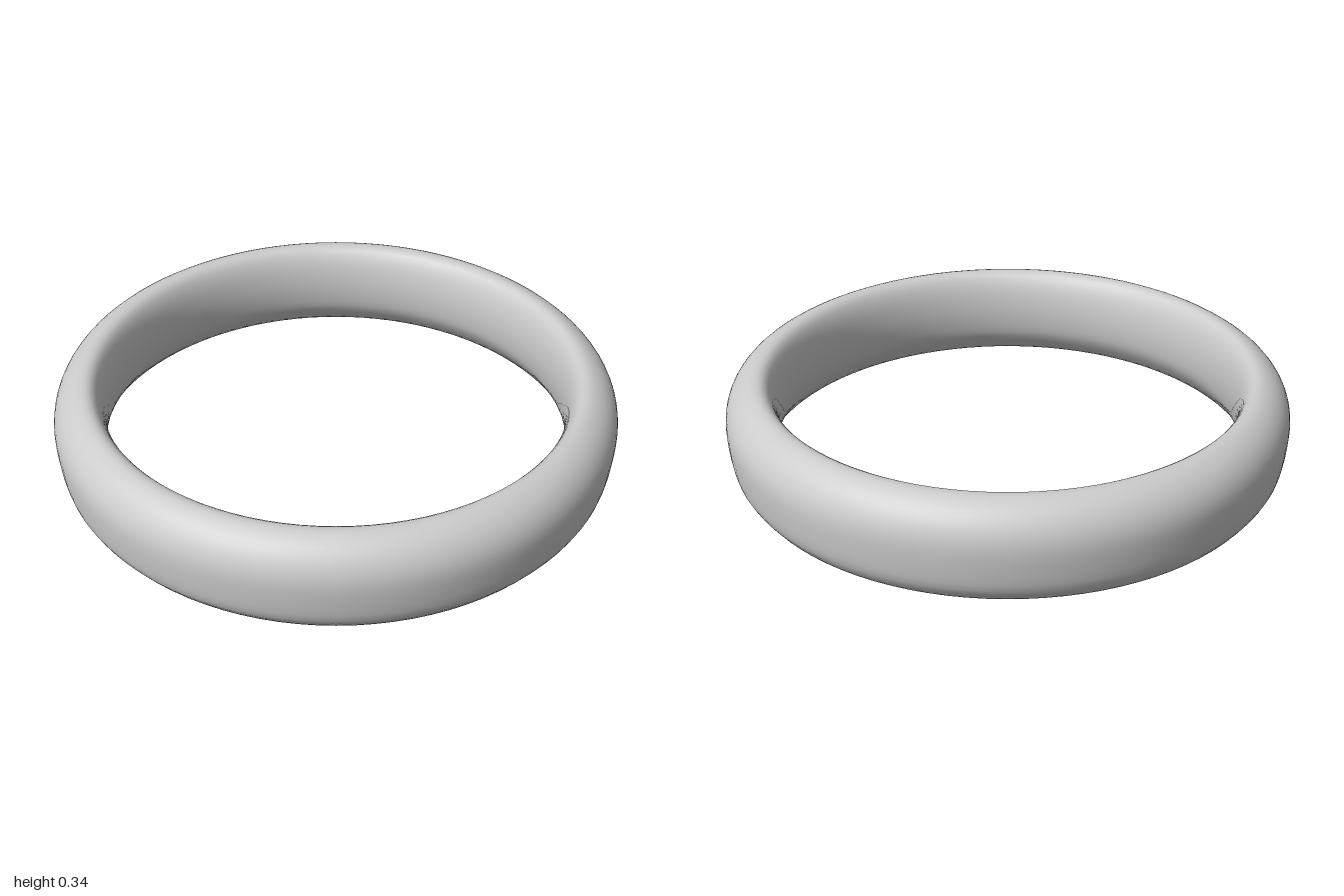
import * as THREE from 'three';

// Plain domed band: a rounded cross-section with a narrow flat foot, revolved about y.
export function createModel() {
  const group = new THREE.Group();
  group.name = 'ring';

  // Cross-section (radius, height): up the outside, over the crest, down the inside
  const section = [
    [0.95, 0], [0.983, 0.05], [0.997, 0.13], [1, 0.21], [0.982, 0.27],
    [0.945, 0.315], [0.895, 0.34], [0.855, 0.33], [0.828, 0.28], [0.816, 0.21],
    [0.818, 0.14], [0.835, 0.07], [0.885, 0],
  ].map(([r, y]) => new THREE.Vector2(r, y));

  // The loop starts and ends in the middle of the flat foot
  const foot = new THREE.Vector2(0.918, 0);
  const profile = [foot, ...new THREE.SplineCurve(section).getPoints(36), foot.clone()];

  const band = new THREE.Mesh(
    new THREE.LatheGeometry(profile, 96),
    new THREE.MeshStandardMaterial({ color: 0xcccccc }),
  );
  band.name = 'band';
  group.add(band);
  return group;
}
